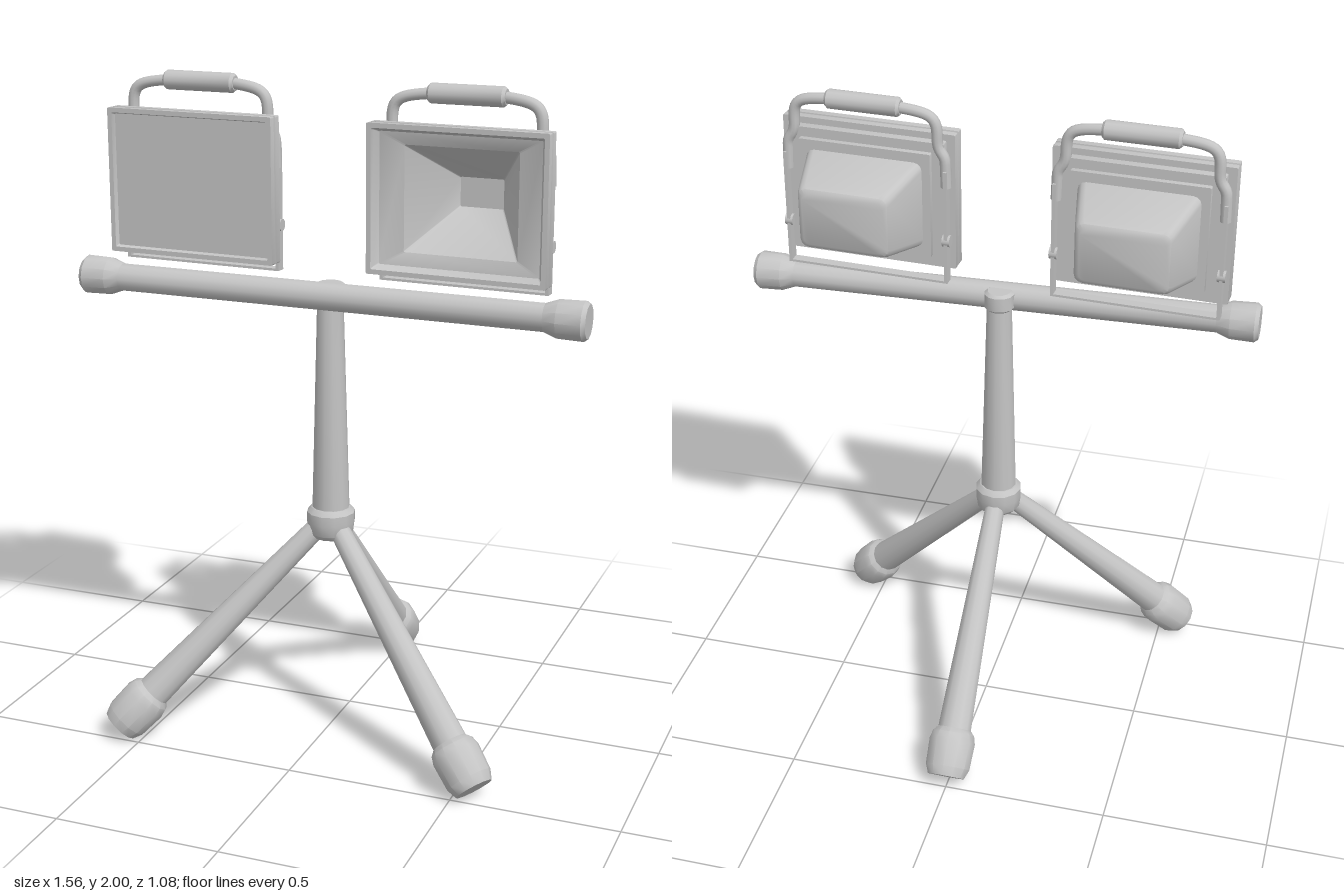
import * as THREE from 'three';
import { toCreasedNormals } from 'three/addons/utils/BufferGeometryUtils.js';

const grey = new THREE.MeshStandardMaterial({ color: 0xc4c4c4, side: THREE.DoubleSide });
grey.name = 'lightGrey';

function add(parent, name, geometry) {
  const mesh = new THREE.Mesh(geometry, grey);
  mesh.name = name;
  parent.add(mesh);
  return mesh;
}

// Turned rod between two points; profile holds [radius, distance from start]
function rod(parent, name, from, to, profile, sides = 12) {
  const a = new THREE.Vector3(...from), b = new THREE.Vector3(...to);
  const points = profile.map(([r, d]) => new THREE.Vector2(r, d));
  const mesh = add(parent, name, toCreasedNormals(new THREE.LatheGeometry(points, sides), 0.6));
  mesh.position.copy(a);
  mesh.quaternion.setFromUnitVectors(new THREE.Vector3(0, 1, 0), b.sub(a).normalize());
  return mesh;
}

// Skin over rounded rectangles [halfWidth, halfHeight, z, cornerRadius], last one capped
function loft(sections, inward = false) {
  const corners = [[1, 1], [-1, 1], [-1, -1], [1, -1]], steps = 3, n = 4 * (steps + 1);
  const pos = [], index = [];
  for (const [w, h, z, r = 0.004] of sections) {
    corners.forEach(([sx, sy], c) => {
      for (let k = 0; k <= steps; k++) {
        const t = (c + k / steps) * Math.PI / 2;
        pos.push(sx * (w - r) + r * Math.cos(t), sy * (h - r) + r * Math.sin(t), z);
      }
    });
  }
  const face = (a, b, c) => index.push(...(inward ? [a, c, b] : [a, b, c]));
  for (let s = 0; s < sections.length - 1; s++) {
    for (let i = 0; i < n; i++) {
      const a = s * n + i, b = s * n + (i + 1) % n;
      face(a, a + n, b);
      face(b, a + n, b + n);
    }
  }
  const last = (sections.length - 1) * n;
  for (let i = 1; i < n - 1; i++) face(last, last + i + 1, last + i);
  const geo = new THREE.BufferGeometry();
  geo.setAttribute('position', new THREE.Float32BufferAttribute(pos, 3));
  geo.setIndex(index);
  return toCreasedNormals(geo, 0.6);
}

// Floodlight, origin at the centre of its front face
function floodlight(name, hasGlass) {
  const lamp = new THREE.Group();
  lamp.name = name;

  // Stepped housing with tapered rear
  add(lamp, 'housing', loft([
    [0.268, 0.215, 0], [0.268, 0.215, -0.022], [0.262, 0.209, -0.024], [0.262, 0.209, -0.03],
    [0.268, 0.215, -0.032], [0.268, 0.215, -0.055], [0.242, 0.195, -0.055], [0.242, 0.195, -0.082],
    [0.205, 0.165, -0.082], [0.205, 0.165, -0.1], [0.18, 0.135, -0.1, 0.025],
    [0.142, 0.098, -0.265, 0.025], [0.136, 0.092, -0.278, 0.024], [0.124, 0.08, -0.285, 0.02],
  ]));

  // Front rim, closed by glass or opening into the reflector
  const rim = [[0.268, 0.215, 0], [0.254, 0.201, 0], [0.25, 0.197, -0.014]];
  if (hasGlass) add(lamp, 'glassAndRim', loft(rim, true));
  else add(lamp, 'reflectorAndRim', loft([...rim, [0.24, 0.19, -0.03],
    [0.17, 0.153, -0.045], [0.066, 0.043, -0.22]], true));

  // Flat U bracket
  for (const s of [-1, 1]) {
    add(lamp, 'bracketSide', new THREE.BoxGeometry(0.01, 0.36, 0.032)).position.set(s * 0.25, -0.065, -0.085);
    const knob = add(lamp, 'bracketBolt', new THREE.CylinderGeometry(0.018, 0.018, 0.024, 12));
    knob.rotation.z = Math.PI / 2;
    knob.position.set(s * 0.25, -0.11, -0.085);
  }
  add(lamp, 'bracketBase', new THREE.BoxGeometry(0.51, 0.007, 0.032)).position.set(0, -0.242, -0.085);

  // Carrying handle
  const path = new THREE.CurvePath();
  const v = (x, y, z = -0.078) => new THREE.Vector3(x, y, z);
  path.add(new THREE.LineCurve3(v(-0.248, 0.06), v(-0.246, 0.13)));
  path.add(new THREE.CubicBezierCurve3(v(-0.246, 0.13), v(-0.246, 0.17), v(-0.222, 0.16), v(-0.222, 0.21)));
  path.add(new THREE.CubicBezierCurve3(v(-0.222, 0.21), v(-0.222, 0.275), v(-0.21, 0.285), v(-0.11, 0.294, -0.085)));
  path.add(new THREE.LineCurve3(v(-0.11, 0.294, -0.085), v(0, 0.294, -0.085)));
  const half = new THREE.TubeGeometry(path, 40, 0.0165, 10);
  add(lamp, 'handleHalf', half);
  // Mirrored half, swung round its own plane
  const mirrored = half.clone().scale(-1, 1, 1);
  const idx = mirrored.index.array;
  for (let i = 0; i < idx.length; i += 3) [idx[i], idx[i + 1]] = [idx[i + 1], idx[i]];
  add(lamp, 'handleHalf', mirrored);
  rod(lamp, 'handleGrip', [-0.115, 0.295, -0.085], [0.115, 0.295, -0.085],
    [[0, 0], [0.022, 0], [0.029, 0.008], [0.029, 0.222], [0.022, 0.23], [0, 0.23]]);
  return lamp;
}

export function createModel() {
  const model = new THREE.Group();
  model.name = 'worklightTripod';
  const cz = 0.158;

  // Pole with collar at the top and hub at the foot
  rod(model, 'pole', [0, 0.66, cz], [0, 1.4, cz], [[0.058, 0], [0.038, 0.74]]);
  rod(model, 'poleCap', [0, 1.35, cz], [0, 1.41, cz],
    [[0.038, 0], [0.046, 0.008], [0.046, 0.052], [0.036, 0.06], [0, 0.06]]);
  rod(model, 'hub', [0, 0.625, cz], [0, 0.72, cz],
    [[0, 0], [0.055, 0], [0.068, 0.015], [0.073, 0.05], [0.073, 0.08], [0.06, 0.095], [0, 0.095]]);

  // Three legs with rubber feet
  for (let i = 0; i < 3; i++) {
    const a = Math.PI + i * Math.PI * 2 / 3, reach = 0.655;
    const from = [0.01 * Math.sin(a), 0.685, cz + 0.01 * Math.cos(a)];
    const to = [reach * Math.sin(a), 0.043, cz + reach * Math.cos(a)];
    const len = new THREE.Vector3(...from).distanceTo(new THREE.Vector3(...to));
    rod(model, 'leg', from, to, [[0, 0], [0.03, 0], [0.054, len - 0.1]]);
    rod(model, 'foot', from, to, [[0.052, len - 0.15], [0.066, len - 0.135], [0.073, len - 0.11],
      [0.07, len - 0.03], [0.058, len], [0, len]]);
  }

  // Crossbar with end caps
  const left = [-0.78, 1.383, 0.203], right = [0.78, 1.368, 0.185];
  rod(model, 'crossbar', left, right, [[0.042, 0.05], [0.042, 1.51]]);
  const cap = [[0, 0], [0.05, 0], [0.059, 0.012], [0.057, 0.085], [0.042, 0.125]];
  rod(model, 'crossbarCap', left, right, cap);
  rod(model, 'crossbarCap', right, left, cap);

  // Two floodlights, one glazed and one open
  const glazed = floodlight('glazedFloodlight', true);
  glazed.position.set(-0.422, 1.675, 0.214);
  const open = floodlight('openFloodlight', false);
  open.position.set(0.402, 1.675, 0.236);
  for (const lamp of [glazed, open]) {
    lamp.rotation.y = -0.05;
    model.add(lamp);
  }
  return model;
}
